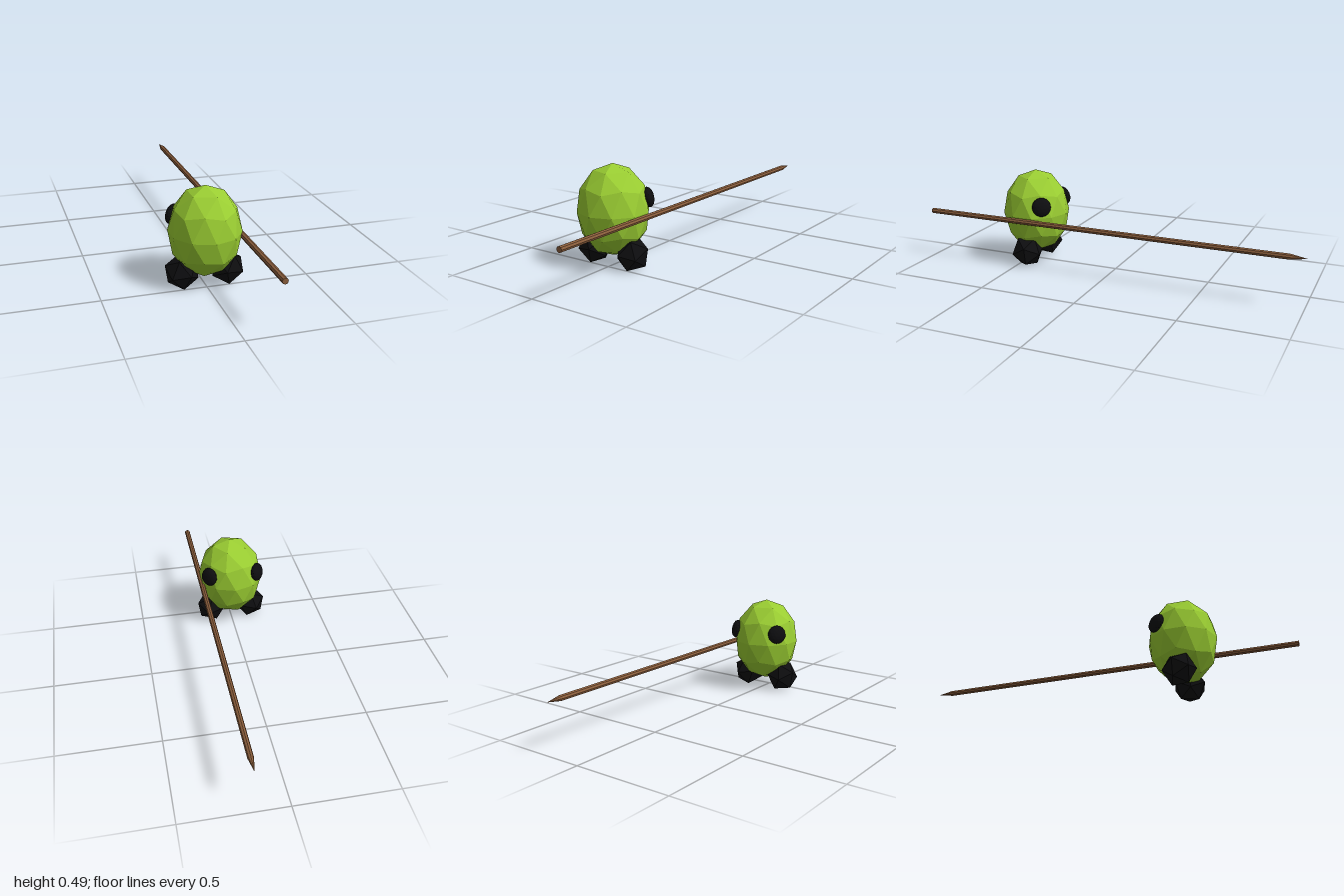
import * as THREE from 'three';

export function createModel() {
  const model = new THREE.Group();
  const material = (name, color) => {
    const m = new THREE.MeshStandardMaterial({ color, flatShading: true });
    m.name = name;
    return m;
  };
  const green = material('leaf green', 0x9acd32);
  const black = material('soft black', 0x0e0e10);
  const brown = material('wood brown', 0x8b5e3c);

  const add = (name, geometry, mat, x, y, z) => {
    const mesh = new THREE.Mesh(geometry, mat);
    mesh.name = name;
    mesh.position.set(x, y, z);
    model.add(mesh);
    return mesh;
  };

  // Egg-shaped body: faceted sphere with a vertex at each pole
  const center = new THREE.Vector3(0, 0.273, 0.455);
  const radii = new THREE.Vector3(0.173, 0.221, 0.173);
  const bodyGeo = new THREE.IcosahedronGeometry(1, 1);
  bodyGeo.rotateZ(-Math.atan(2 / (1 + Math.sqrt(5))));
  bodyGeo.scale(radii.x, radii.y, radii.z);
  add('body', bodyGeo, green, center.x, center.y, center.z);

  for (const side of [1, -1]) {
    const label = side > 0 ? 'left' : 'right';

    // Chunky twenty-sided feet, splayed outward
    const footGeo = new THREE.IcosahedronGeometry(0.0845, 0);
    footGeo.rotateZ(Math.PI / 2).rotateY(side * 0.26).rotateZ(-side * 0.166);
    add(label + 'Foot', footGeo, black, side * 0.1105, 0.0785, 0.456);

    // Flattened domes set into the body, facing out and back
    const normal = new THREE.Vector3(side * 0.78, 0.215, -0.588).normalize();
    const eyeGeo = new THREE.IcosahedronGeometry(1, 2).scale(0.049, 0.049, 0.027);
    const eye = add(label + 'Eye', eyeGeo, black, side * 0.13, 0.332, 0.357);
    eye.quaternion.setFromUnitVectors(new THREE.Vector3(0, 0, 1), normal);
  }

  // Long spear with its point toward the back
  const shaftGeo = new THREE.CylinderGeometry(0.0145, 0.0145, 1.92, 8).rotateX(-Math.PI / 2);
  add('spearShaft', shaftGeo, brown, 0.165, 0.253, 0.04);
  const tipGeo = new THREE.ConeGeometry(0.0145, 0.08, 8).rotateX(-Math.PI / 2);
  add('spearTip', tipGeo, brown, 0.165, 0.253, -0.96);

  return model;
}
